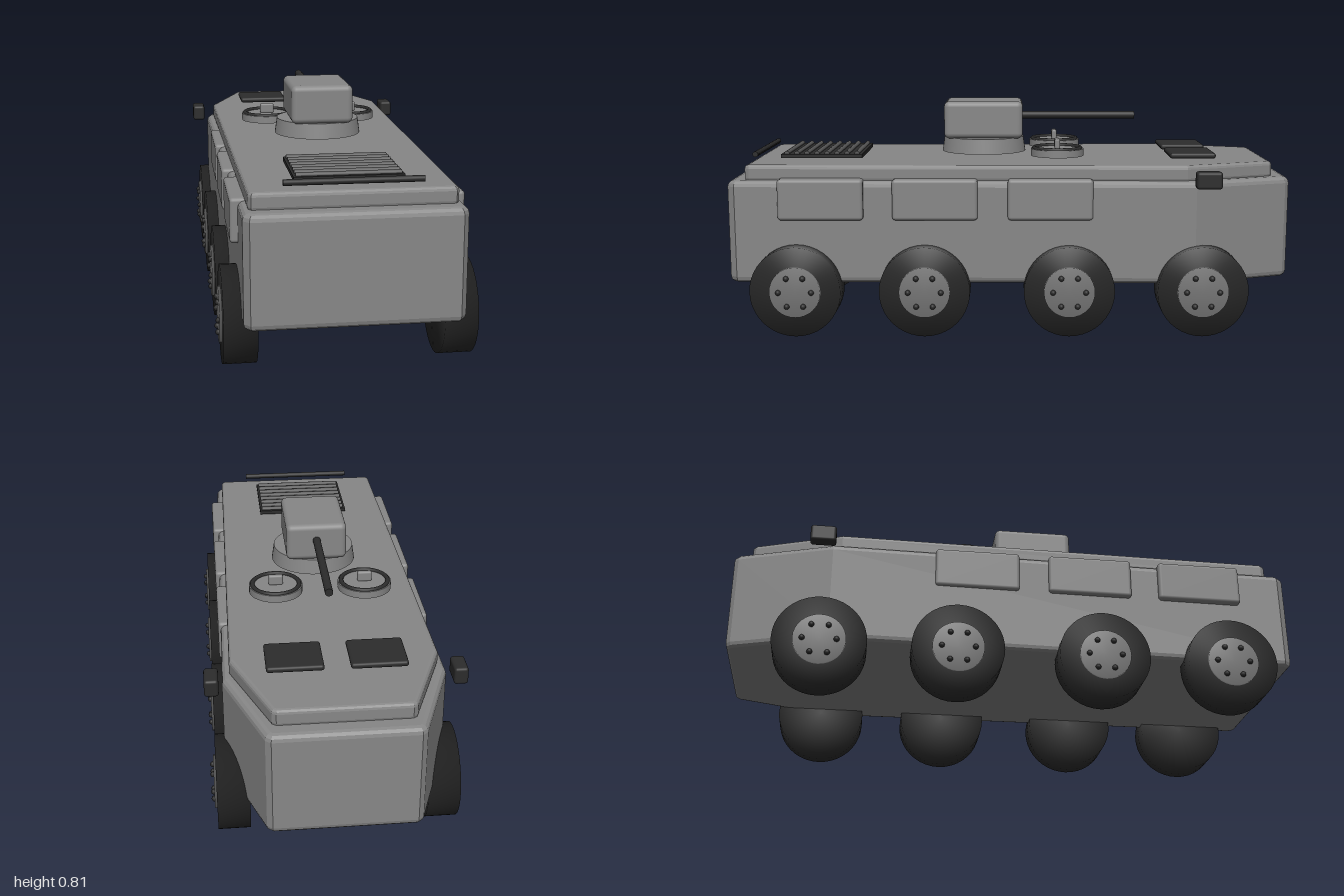
import * as THREE from 'three';
import { RoundedBoxGeometry } from 'three/addons/geometries/RoundedBoxGeometry.js';

const mat = (name, color) => {
  const m = new THREE.MeshStandardMaterial({ color });
  m.name = name;
  return m;
};

export function createModel() {
  const armour = mat('armour grey', 0x878787);
  const hubGrey = mat('hub grey', 0x757575);
  const slatGrey = mat('slat grey', 0x5a5a5a);
  const dark = mat('dark metal', 0x2c2c2c);
  const rubber = mat('rubber', 0x272727);

  const model = new THREE.Group();
  model.name = 'armouredCarrier';

  const add = (name, geo, material, x = 0, y = 0, z = 0, parent = model) => {
    const mesh = new THREE.Mesh(geo, material);
    mesh.name = name;
    mesh.position.set(x, y, z);
    parent.add(mesh);
    return mesh;
  };

  // Bevelled slab from one half of a plan outline, given as [x, z] from rear to nose
  const slab = (half, y0, y1, bevel) => {
    const right = half.map(([x, z]) => new THREE.Vector2(x, -z));
    const left = half.map(([x, z]) => new THREE.Vector2(-x, -z)).reverse();
    const geo = new THREE.ExtrudeGeometry(new THREE.Shape([...right, ...left]), {
      depth: y1 - y0 - 2 * bevel, bevelEnabled: true, bevelThickness: bevel,
      bevelSize: bevel, bevelOffset: -bevel, bevelSegments: 3,
    });
    geo.rotateX(-Math.PI / 2);
    geo.translate(0, y0 + bevel, 0);
    return geo;
  };

  // Hull and roof deck
  add('hull', slab([[0.325, 1], [0.345, 0.975], [0.37, -0.65], [0.25, -0.985], [0.232, -1]],
    0.18, 0.547, 0.022), armour);
  add('deck', slab([[0.315, 0.94], [0.325, 0.925], [0.345, -0.62], [0.226, -0.93], [0.212, -0.94]],
    0.54, 0.6, 0.014), armour);

  // Lathe disc with its axis along x
  const disc = (r, w, seg) => {
    const h = w / 2;
    const pts = [[0, -h], [r, -h], [r, h], [0, h]].map(([a, b]) => new THREE.Vector2(a, b));
    return new THREE.LatheGeometry(pts, seg).rotateZ(-Math.PI / 2);
  };
  const tyreGeo = disc(0.16, 0.108, 40);
  const hubGeo = disc(0.09, 0.02, 32);
  const boltGeo = new THREE.SphereGeometry(0.01, 12, 8);

  const boxGeo = new RoundedBoxGeometry(0.06, 0.145, 0.3, 3, 0.012);
  const mirrorGeo = new RoundedBoxGeometry(0.047, 0.06, 0.09, 3, 0.01);
  const plateGeo = new RoundedBoxGeometry(0.187, 0.02, 0.165, 3, 0.009);

  for (const s of [1, -1]) {
    const side = s > 0 ? 'left' : 'right';

    // Wheels with hub and six bolts
    [0.76, 0.305, -0.205, -0.675].forEach((z, i) => {
      const wheel = new THREE.Group();
      wheel.name = `${side}Wheel${i + 1}`;
      wheel.position.set(s * 0.349, 0.16, z);
      model.add(wheel);
      add('tyre', tyreGeo, rubber, 0, 0, 0, wheel);
      add('hub', hubGeo, hubGrey, s * 0.052, 0, 0, wheel);
      for (let k = 0; k < 6; k++) {
        const a = k * Math.PI / 3;
        add('bolt', boltGeo, dark, s * 0.063, Math.sin(a) * 0.058, Math.cos(a) * 0.058, wheel);
      }
    });

    // Stowage boxes along the flank
    [0.67, 0.268, -0.138].forEach((z, i) =>
      add(`${side}StowageBox${i + 1}`, boxGeo, armour, s * 0.343, 0.482, z));

    add(`${side}Mirror`, mirrorGeo, dark, s * 0.405, 0.558, -0.685);
    add(`${side}VisionPlate`, plateGeo, dark, s * 0.136, 0.62, -0.655);

    // Round roof hatch with rim and handle
    const hatch = new THREE.Group();
    hatch.name = `${side}Hatch`;
    hatch.position.set(s * 0.16, 0, -0.168);
    model.add(hatch);
    add('hatchLid', new THREE.CylinderGeometry(0.096, 0.096, 0.026, 40), armour, 0, 0.628, 0, hatch);
    add('hatchRim', new THREE.TorusGeometry(0.084, 0.008, 10, 40).rotateX(Math.PI / 2),
      dark, 0, 0.642, 0, hatch);
    add('hatchHandle', new RoundedBoxGeometry(0.052, 0.038, 0.02, 3, 0.007),
      armour, 0, 0.658, 0, hatch);
  }

  // Turret with gun
  const turret = new THREE.Group();
  turret.name = 'turret';
  turret.position.set(0, 0, 0.102);
  model.add(turret);
  add('turretRing', new THREE.CylinderGeometry(0.148, 0.156, 0.055, 48), armour, 0, 0.643, 0, turret);
  add('turretBody', new RoundedBoxGeometry(0.22, 0.137, 0.29, 4, 0.02), armour, 0, 0.737, 0, turret);
  add('gunBarrel', new THREE.CylinderGeometry(0.014, 0.014, 0.44, 20).rotateX(Math.PI / 2),
    dark, 0, 0.748, -0.345, turret);

  // Engine grille with round slats
  add('grilleBase', new THREE.BoxGeometry(0.35, 0.014, 0.295), dark, 0, 0.613, 0.69);
  const slatGeo = new THREE.CylinderGeometry(0.009, 0.009, 0.335, 12).rotateZ(Math.PI / 2);
  for (let i = 0; i < 8; i++) {
    add(`grilleSlat${i + 1}`, slatGeo, slatGrey, 0, 0.622, 0.562 + i * 0.0365);
  }

  // Rear rail
  add('rearRail', new THREE.CylinderGeometry(0.01, 0.01, 0.435, 14).rotateZ(Math.PI / 2),
    dark, 0, 0.625, 0.922);

  return model;
}
